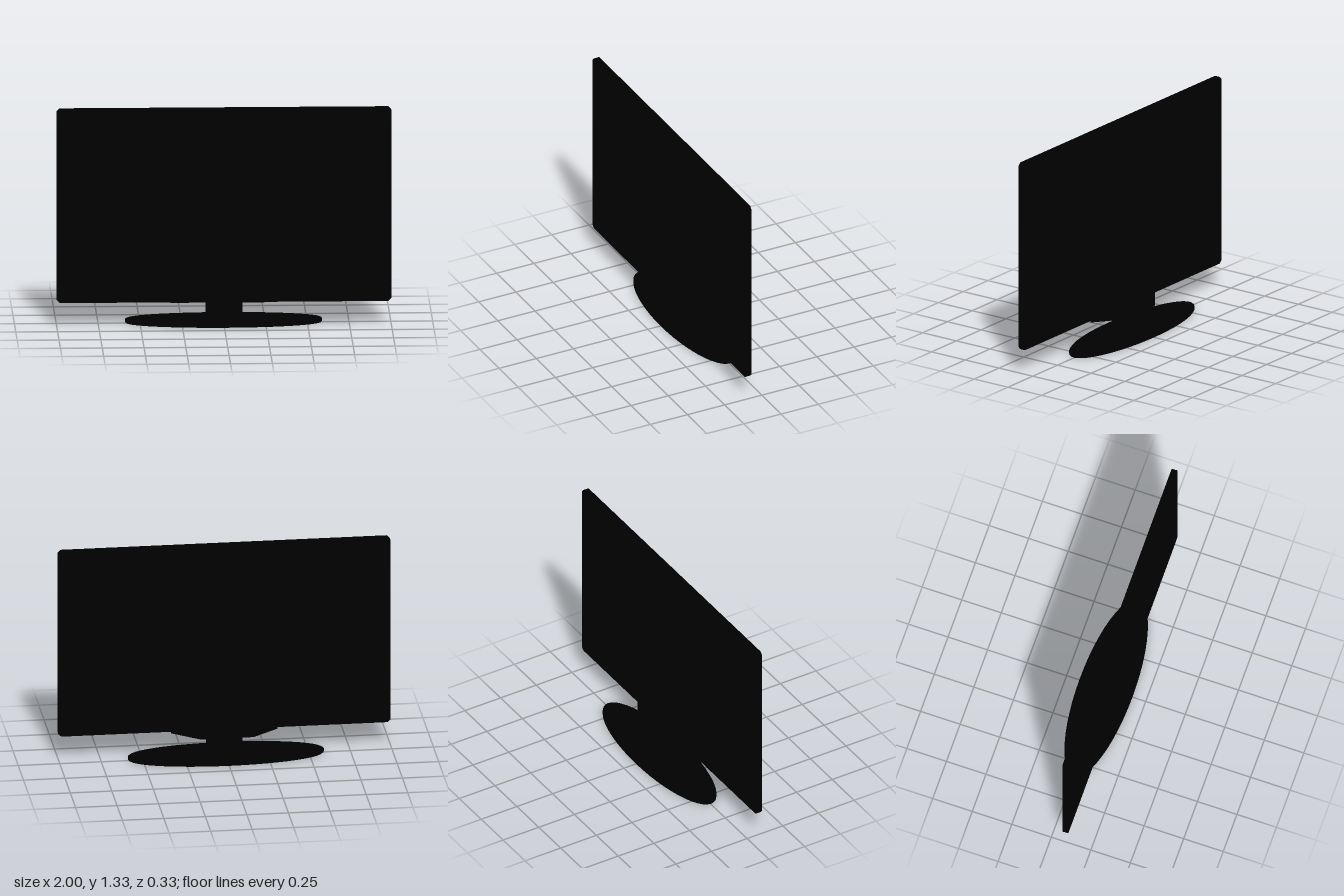
import * as THREE from 'three';

const black = new THREE.MeshStandardMaterial({ color: 0x000000 });
const thin = new THREE.MeshStandardMaterial({ color: 0x000000, side: THREE.DoubleSide });

const BACK = 0.07, FRONT = 0.105; // z of the panel's rear and front
const W = 1, BOTTOM = 0.145, TOP = 1.325, BEZEL = 0.03;

function add(group, name, geometry, material) {
  const mesh = new THREE.Mesh(geometry, material);
  mesh.name = name;
  group.add(mesh);
  return mesh;
}

const points = list => list.map(([x, y]) => new THREE.Vector2(x, y));

// Rectangle with small cut corners
function cutRect(w, y0, y1, c) {
  return points([
    [-w + c, y0], [w - c, y0], [w, y0 + c], [w, y1 - c],
    [w - c, y1], [-w + c, y1], [-w, y1 - c], [-w, y0 + c],
  ]);
}

// Tapered rear housing, open towards the panel
function housingGeometry() {
  // [y, half width at the rear, rear z]
  const rows = [[0.135, 0.16, -0.055], [0.55, 0.16, -0.055], [0.73, 0.18, -0.005], [0.92, 0.31, BACK]];
  const sections = rows.map(([y, w, z]) => [[-0.32, y, BACK], [-w, y, z], [w, y, z], [0.32, y, BACK]]);
  const pos = [];
  const quad = (a, b, c, d) => pos.push(...a, ...b, ...c, ...a, ...c, ...d);
  for (let i = 0; i < sections.length - 1; i++) {
    const s = sections[i], t = sections[i + 1];
    for (let j = 0; j < 3; j++) quad(s[j], t[j], t[j + 1], s[j + 1]);
  }
  quad(...sections[0]); // underside
  const g = new THREE.BufferGeometry();
  g.setAttribute('position', new THREE.Float32BufferAttribute(pos, 3));
  g.computeVertexNormals();
  return g;
}

export function createModel() {
  const tv = new THREE.Group();
  tv.name = 'television';

  // Panel frame with its opening
  const inner = [W - BEZEL, BOTTOM + BEZEL, TOP - BEZEL];
  const frame = new THREE.Shape(cutRect(W, BOTTOM, TOP, 0.018));
  frame.holes.push(new THREE.Path(cutRect(...inner, 0.001)));
  const frameGeo = new THREE.ExtrudeGeometry(frame, { depth: FRONT - BACK, bevelEnabled: false });
  frameGeo.translate(0, 0, BACK);
  add(tv, 'screenFrame', frameGeo, black);

  // Thin panel at the rear of the frame, open into the housing
  const panel = new THREE.Shape(cutRect(...inner, 0.001));
  panel.holes.push(new THREE.Path(points([
    [-0.32, inner[1] + 0.002], [-0.32, 0.92], [0.32, 0.92], [0.32, inner[1] + 0.002],
  ])));
  add(tv, 'backPanel', new THREE.ShapeGeometry(panel), thin).position.z = BACK;

  add(tv, 'rearHousing', housingGeometry(), thin);

  // Neck, wider at the front than at the rear
  const neck = new THREE.Shape(points([[-0.11, -BACK], [0.11, -BACK], [0.05, 0.055], [-0.05, 0.055]]));
  const neckGeo = new THREE.ExtrudeGeometry(neck, { depth: 0.12, bevelEnabled: false });
  neckGeo.rotateX(-Math.PI / 2);
  add(tv, 'standNeck', neckGeo, black).position.y = 0.02;

  // Oval foot with softened edges
  const profile = points([[0, 0], [0.985, 0], [1, 0.006], [1, 0.024], [0.985, 0.03], [0, 0.03]]);
  const foot = new THREE.LatheGeometry(profile, 48);
  foot.scale(0.59, 1, 0.167);
  const flatFoot = foot.toNonIndexed();
  flatFoot.computeVertexNormals();
  add(tv, 'standFoot', flatFoot, black);

  return tv;
}
